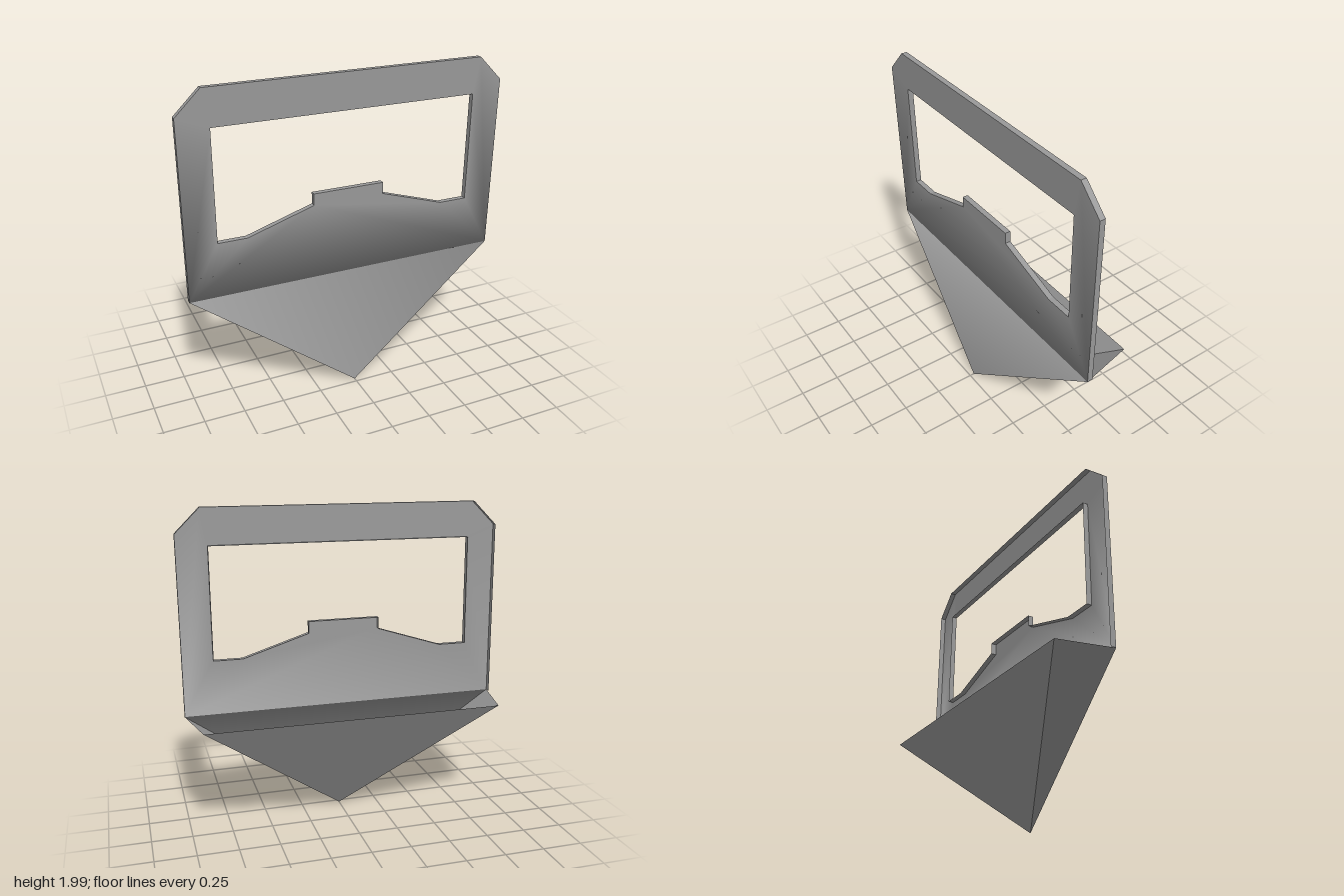
import * as THREE from 'three';

const material = new THREE.MeshStandardMaterial({ color: 0x999999, side: THREE.DoubleSide });

const FOLD = 0.742;      // height where the upright sheet meets the pointed pocket
const RIM = 0.035;       // depth of the rim behind the sheet
const BACK = -0.222;     // rear edge of the pocket
const TIP = [0, 0, 0.222];
const frontZ = (y) => 0.113 + (y - FOLD) * 0.018; // sheet leans slightly forward

// closed outline from its right half, mirrored to the left
function mirrored(half) {
  const left = half.slice().reverse().map(([x, y]) => [-x, y]);
  return [...half, ...left].map(([x, y]) => new THREE.Vector2(x, y));
}

const outline = mirrored([[1, FOLD], [1, 1.842], [0.85, 1.99]]);
const windowEdge = mirrored([
  [0.224, 1.29], [0.224, 1.217], [0.635, 1.086], [0.812, 1.086], [0.812, 1.768],
]);

function mesh(name, geometry) {
  geometry.computeVertexNormals();
  const m = new THREE.Mesh(geometry, material);
  m.name = name;
  return m;
}

function triangles(name, points) {
  const geometry = new THREE.BufferGeometry();
  geometry.setAttribute('position', new THREE.Float32BufferAttribute(points, 3));
  return mesh(name, geometry);
}

// front sheet with window, folded softly into the pointed lower front
function frontSheet() {
  const shape = new THREE.Shape(outline);
  shape.holes.push(new THREE.Path(windowEdge));
  const flat = new THREE.ShapeGeometry(shape);
  const p = flat.attributes.position;
  const points = [];
  for (let i = 0; i < p.count; i++) points.push(p.getX(i), p.getY(i), frontZ(p.getY(i)));
  const geometry = new THREE.BufferGeometry();
  geometry.setAttribute('position', new THREE.Float32BufferAttribute([...points, ...TIP], 3));
  geometry.setIndex([...flat.index.array, outline.length - 1, p.count, 0]);
  return mesh('frontSheet', geometry);
}

// rim walls behind the sheet, following a run of edge points
function rim(name, path) {
  const points = [];
  for (let i = 0; i < path.length - 1; i++) {
    const [a, b] = [path[i], path[i + 1]];
    const at = (v, depth) => [v.x, v.y, frontZ(v.y) - depth];
    points.push(...at(a, 0), ...at(a, RIM), ...at(b, 0));
    points.push(...at(b, 0), ...at(a, RIM), ...at(b, RIM));
  }
  return triangles(name, points);
}

export function createModel() {
  const group = new THREE.Group();
  group.name = 'pointedFrame';
  group.add(
    frontSheet(),
    rim('outerRim', outline),
    rim('windowRim', [...windowEdge, windowEdge[0]].reverse()),
  );

  // sides and back of the hollow pocket, open at the top
  const corner = (x, z) => [x, FOLD, z];
  const z = frontZ(FOLD);
  group.add(
    triangles('leftPanel', [...corner(1, z), ...TIP, ...corner(0.925, BACK)]),
    triangles('backPanel', [...corner(0.925, BACK), ...TIP, ...corner(-0.925, BACK)]),
    triangles('rightPanel', [...corner(-0.925, BACK), ...TIP, ...corner(-1, z)]),
  );
  return group;
}
